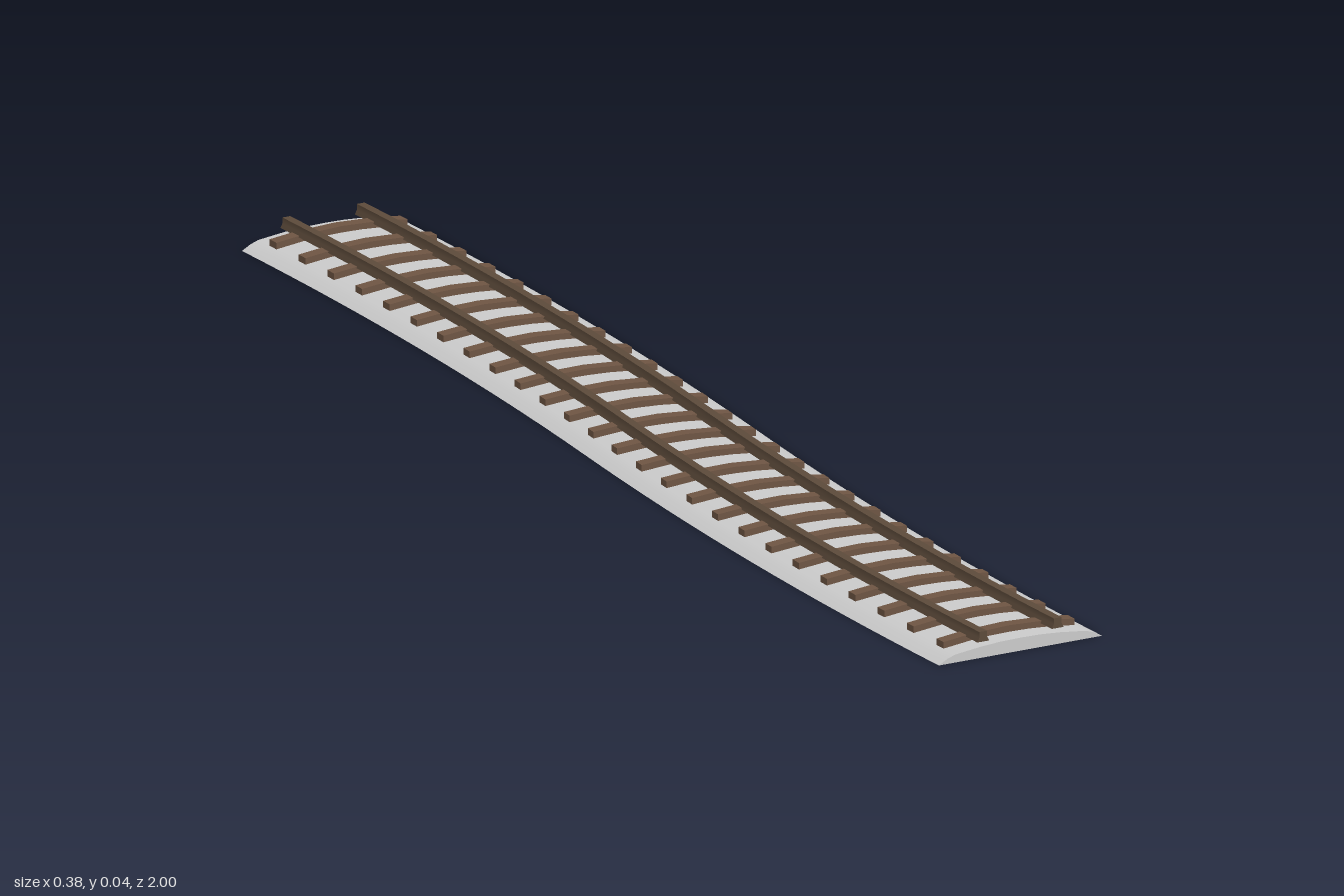
import * as THREE from 'three';
import { toCreasedNormals } from 'three/addons/utils/BufferGeometryUtils.js';

const STEPS = 32, SLEEPERS = 26, SWAY = 0.0625;

// S-shaped centre line: two equal bends, straight at both ends
const centre = z => z < 0 ? SWAY * (1 - (z + 1) ** 2) : SWAY * ((1 - z) ** 2 - 1);
const slope = z => -2 * SWAY * (1 - Math.abs(z));

// Sweeps a counter-clockwise [across, height] profile along the centre line
function sweep(profile, closed, capBack, capFront) {
  const n = profile.length, pos = [], index = [];
  for (let i = 0; i <= STEPS; i++) {
    const z = -1 + 2 * i / STEPS, s = slope(z), len = Math.hypot(1, s);
    for (const [u, y] of profile) pos.push(centre(z) + u / len, y, z - u * s / len);
  }
  for (let i = 0; i < STEPS; i++) {
    for (let j = 0; j < (closed ? n : n - 1); j++) {
      const a = i * n + j, b = i * n + (j + 1) % n;
      index.push(a, b, a + n, b, b + n, a + n);
    }
  }
  const faces = THREE.ShapeUtils.triangulateShape(profile.map(p => new THREE.Vector2(...p)), []);
  for (const [a, b, c] of faces) {
    const e = STEPS * n;
    if (capBack) index.push(a, c, b);
    if (capFront) index.push(e + a, e + b, e + c);
  }
  const g = new THREE.BufferGeometry();
  g.setAttribute('position', new THREE.Float32BufferAttribute(pos, 3));
  g.setIndex(index);
  return toCreasedNormals(g, 0.6);
}

export function createModel() {
  const model = new THREE.Group();
  model.name = 'railwayTrack';
  const gravel = new THREE.MeshStandardMaterial({ color: 0xcacaca, side: THREE.DoubleSide });
  gravel.name = 'paleGravel';
  const wood = new THREE.MeshStandardMaterial({ color: 0x6e5543 });
  wood.name = 'brownWood';
  const steel = new THREE.MeshStandardMaterial({ color: 0x5c4a3a });
  steel.name = 'rustySteel';

  const add = (parent, name, geometry, material) => {
    const mesh = new THREE.Mesh(geometry, material);
    mesh.name = name;
    parent.add(mesh);
    return mesh;
  };

  // Ballast bed: a domed shell, open underneath
  const half = [[0.125, 0], [0.112, 0.007], [0.1, 0.011], [0.06, 0.0155], [0.03, 0.0175]];
  const bed = [...half, [0, 0.018], ...half.map(([u, y]) => [-u, y]).reverse()];
  add(model, 'ballastBed', sweep(bed, false, false, true), gravel);

  // Sleepers: bowed planks that follow the dome and poke through it
  const arch = [[0.1, 0.011], [0.06, 0.0155], [0, 0.018], [-0.06, 0.0155], [-0.1, 0.011]];
  const plank = new THREE.Shape([
    ...arch.map(([u, y]) => new THREE.Vector2(u, y + 0.009)),
    ...arch.map(([u, y]) => new THREE.Vector2(u, y - 0.003)).reverse(),
  ]);
  const plankGeometry = new THREE.ExtrudeGeometry(plank, { depth: 0.018, bevelEnabled: false });
  plankGeometry.translate(0, 0, -0.009);
  const sleepers = new THREE.Group();
  sleepers.name = 'sleepers';
  model.add(sleepers);
  for (let i = 0; i < SLEEPERS; i++) {
    const z = -1 + (i + 0.5) * 2 / SLEEPERS;
    const sleeper = add(sleepers, 'sleeper', plankGeometry, wood);
    sleeper.position.set(centre(z), 0, z);
    sleeper.rotation.y = Math.atan(slope(z));
  }

  // Rails: flared foot below a straight head
  for (const side of [-1, 1]) {
    const rail = [[-0.009, 0.022], [0.009, 0.022], [0.006, 0.028], [0.006, 0.036],
      [-0.006, 0.036], [-0.006, 0.028]].map(([u, y]) => [u + side * 0.057, y]);
    add(model, side > 0 ? 'leftRail' : 'rightRail', sweep(rail, true, true, true), steel);
  }
  return model;
}
